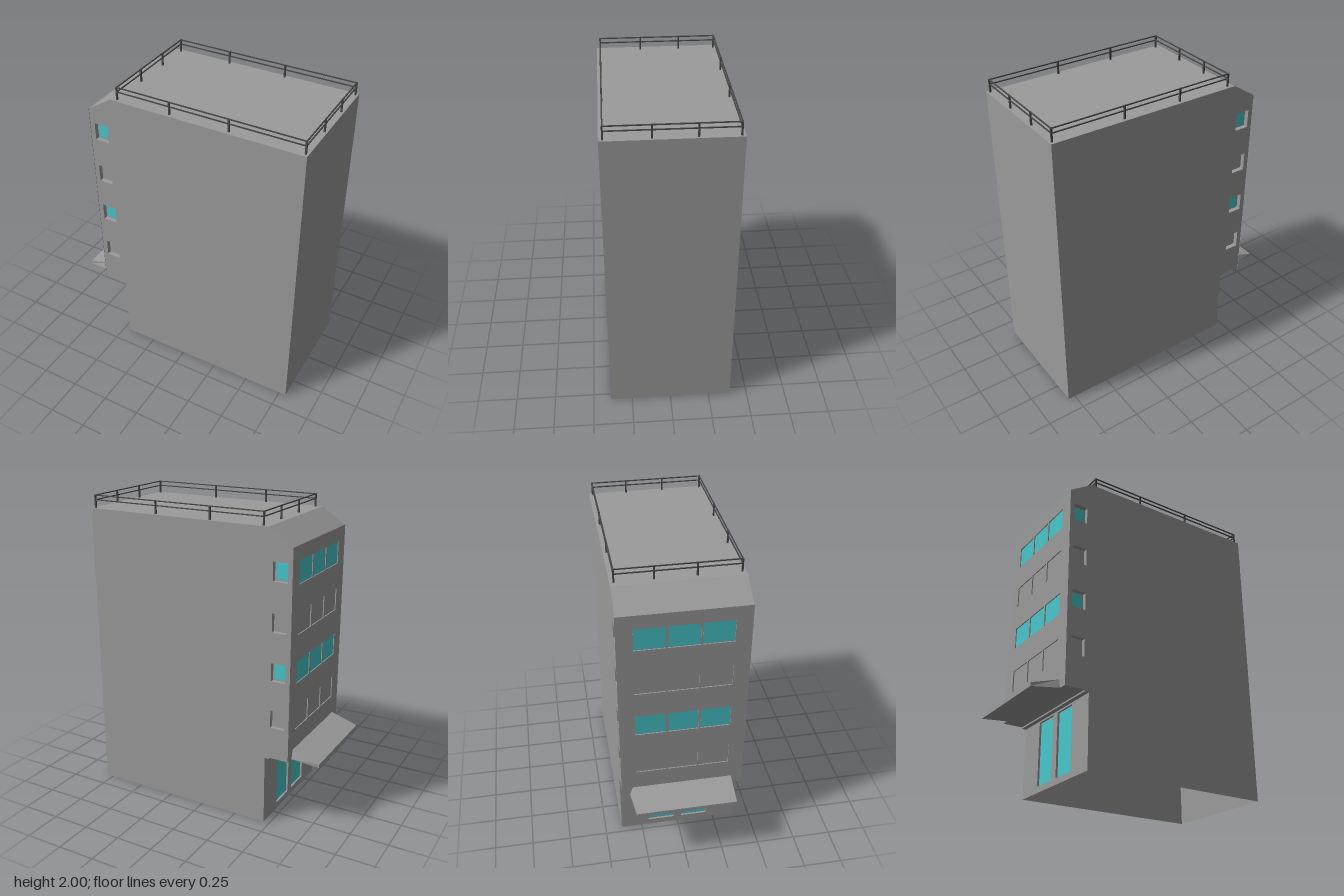
import * as THREE from 'three';

const paint = color => new THREE.MeshStandardMaterial({ color, side: THREE.DoubleSide });
const grey = paint(0x9b9b9b);
const glass = paint(0x48c8cd);
const darkMetal = paint(0x484848);

const BACK = -0.39, FRONT = 0.388, MID = (BACK + FRONT) / 2, HALF = (FRONT - BACK) / 2;
const REAR = 0.797, ROOF = 1.917, EAVE = 1.814, SOFFIT = 0.47;
const ROWS = [0.735, 1.043, 1.353, 1.662];

function add(parent, name, geometry, material = grey) {
  const mesh = new THREE.Mesh(geometry, material);
  mesh.name = name;
  parent.add(mesh);
  return mesh;
}

const rect = (x, y, w, h) => [[x - w / 2, y - h / 2], [x + w / 2, y - h / 2], [x + w / 2, y + h / 2], [x - w / 2, y + h / 2]];
const vectors = pts => pts.map(p => new THREE.Vector2(...p));

// Flat wall facing local +z, with an inset pane in each opening
function makeWall(name, outline, openings, inset) {
  const wall = new THREE.Group();
  wall.name = name;
  const shape = new THREE.Shape(vectors(outline));
  for (const o of openings) {
    const corners = rect(o.x, o.y, o.w, o.h);
    shape.holes.push(new THREE.Path(vectors(corners)));
    // Reveal around the opening
    const ring = new THREE.Shape(vectors(rect(o.x, o.y, o.w + 0.006, o.h + 0.006)));
    ring.holes.push(new THREE.Path(vectors(corners)));
    add(wall, o.name + 'Reveal', new THREE.ExtrudeGeometry(ring, { depth: inset, bevelEnabled: false }))
      .position.z = -inset - 0.001;
    // Backing frame, with the glass just in front of it
    add(wall, o.name + 'Frame', new THREE.PlaneGeometry(o.w, o.h)).position.set(o.x, o.y, -inset);
    if (o.lit) {
      const b = o.border;
      add(wall, o.name + 'Glass', new THREE.BoxGeometry(o.w - 2 * b, o.h - 2 * b, 0.005), glass)
        .position.set(o.x, o.y, -inset);
    }
  }
  add(wall, name + 'Panel', new THREE.ShapeGeometry(shape));
  return wall;
}

// Surface swept across the depth of the building along an (x, y) path
function sweep(path) {
  const pos = [];
  for (let i = 0; i < path.length - 1; i++) {
    const [a, b] = [path[i], path[i + 1]];
    pos.push(...a, BACK, ...a, FRONT, ...b, FRONT, ...a, BACK, ...b, FRONT, ...b, BACK);
  }
  const g = new THREE.BufferGeometry();
  g.setAttribute('position', new THREE.Float32BufferAttribute(pos, 3));
  g.computeVertexNormals();
  return g;
}

export function createModel() {
  const model = new THREE.Group();
  model.name = 'building';

  // Side walls with one small window per floor
  const profile = [[-0.46, 0], [REAR, 0], [REAR, ROOF], [-0.46, ROOF], [-0.62, EAVE],
    [-0.62, SOFFIT], [-0.49, SOFFIT], [-0.49, 0.46], [-0.46, 0.46]];
  for (const s of [1, -1]) {
    const openings = ROWS.map((y, i) => ({
      name: 'sideWindow', x: -0.541 * s, y, w: 0.095, h: 0.117, border: 0.009, lit: i % 2 === 1,
    }));
    const wall = makeWall(s > 0 ? 'leftWall' : 'rightWall', profile.map(([x, y]) => [x * s, y]), openings, 0.03);
    wall.position.z = s > 0 ? FRONT : BACK;
    wall.rotation.y = s > 0 ? 0 : Math.PI;
    model.add(wall);
  }

  // Street facade with three nearly flush windows per floor
  const bays = ROWS.flatMap((y, i) => [-1, 0, 1].map(k => ({
    name: 'facadeWindow', x: k * 0.2, y: y - 0.009, w: 0.188, h: 0.145, border: 0.003, lit: i % 2 === 1,
  })));
  const facade = makeWall('facade', rect(0, (EAVE + SOFFIT) / 2, 2 * HALF + 0.006, EAVE - SOFFIT), bays, 0.008);
  facade.position.set(-0.62, 0, MID);

  // Recessed shop front with two tall glass doors
  const doors = [-1, 1].map(k => ({
    name: 'door', x: k * 0.114, y: 0.245, w: 0.175, h: 0.41, border: 0.006, lit: true,
  }));
  const shop = makeWall('shopFront', rect(0, 0.23, 2 * HALF, 0.46), doors, 0.014);
  shop.position.set(-0.46, 0, MID);
  for (const w of [facade, shop]) {
    w.rotation.y = -Math.PI / 2;
    model.add(w);
  }

  // Sloped eave, roof, rear wall and soffit; the base stays open
  add(model, 'roofAndRearWall', sweep([[-0.62, EAVE], [-0.46, ROOF], [REAR, ROOF], [REAR, 0]]));
  add(model, 'soffit', sweep([[-0.46, 0.46], [-0.49, 0.46], [-0.49, SOFFIT], [-0.62, SOFFIT]]));

  // Tapered canopy: a box whose corners follow the wedge
  const canopy = new THREE.BoxGeometry(1, 1, 1).toNonIndexed();
  const p = canopy.attributes.position;
  for (let i = 0; i < p.count; i++) {
    const wall = p.getX(i) > 0, top = p.getY(i) > 0;
    const y = wall ? (top ? 0.528 : SOFFIT) : (top ? 0.47 : 0.447);
    const z = wall && !top ? 0.34 : 0.32;
    p.setXYZ(i, wall ? -0.62 : -0.8, y, MID + Math.sign(p.getZ(i)) * z);
  }
  canopy.computeVertexNormals();
  add(model, 'canopy', canopy);

  // Roof railing: two thin rails on each side, with posts between them
  const railing = new THREE.Group();
  railing.name = 'railing';
  model.add(railing);
  const xs = [-0.42, -0.063, 0.32, 0.78], zs = [-0.367, -0.14, 0.107, 0.365];
  const [x0, x1, z0, z1] = [xs[0], xs[3], zs[0], zs[3]];
  const bar = (name, size, position) =>
    add(railing, name, new THREE.BoxGeometry(...size), darkMetal).position.set(...position);
  for (const y of [1.997, 1.968]) {
    for (const z of [z0, z1]) bar('rail', [x1 - x0, 0.006, 0.007], [(x0 + x1) / 2, y, z]);
    for (const x of [x0, x1]) bar('rail', [0.007, 0.006, z1 - z0], [x, y, (z0 + z1) / 2]);
  }
  xs.forEach((x, i) => zs.forEach((z, j) => {
    if (i % 3 && j % 3) return;
    bar('post', [0.01, 2 - ROOF, 0.01], [x, (2 + ROOF) / 2, z]);
  }));

  return model;
}
